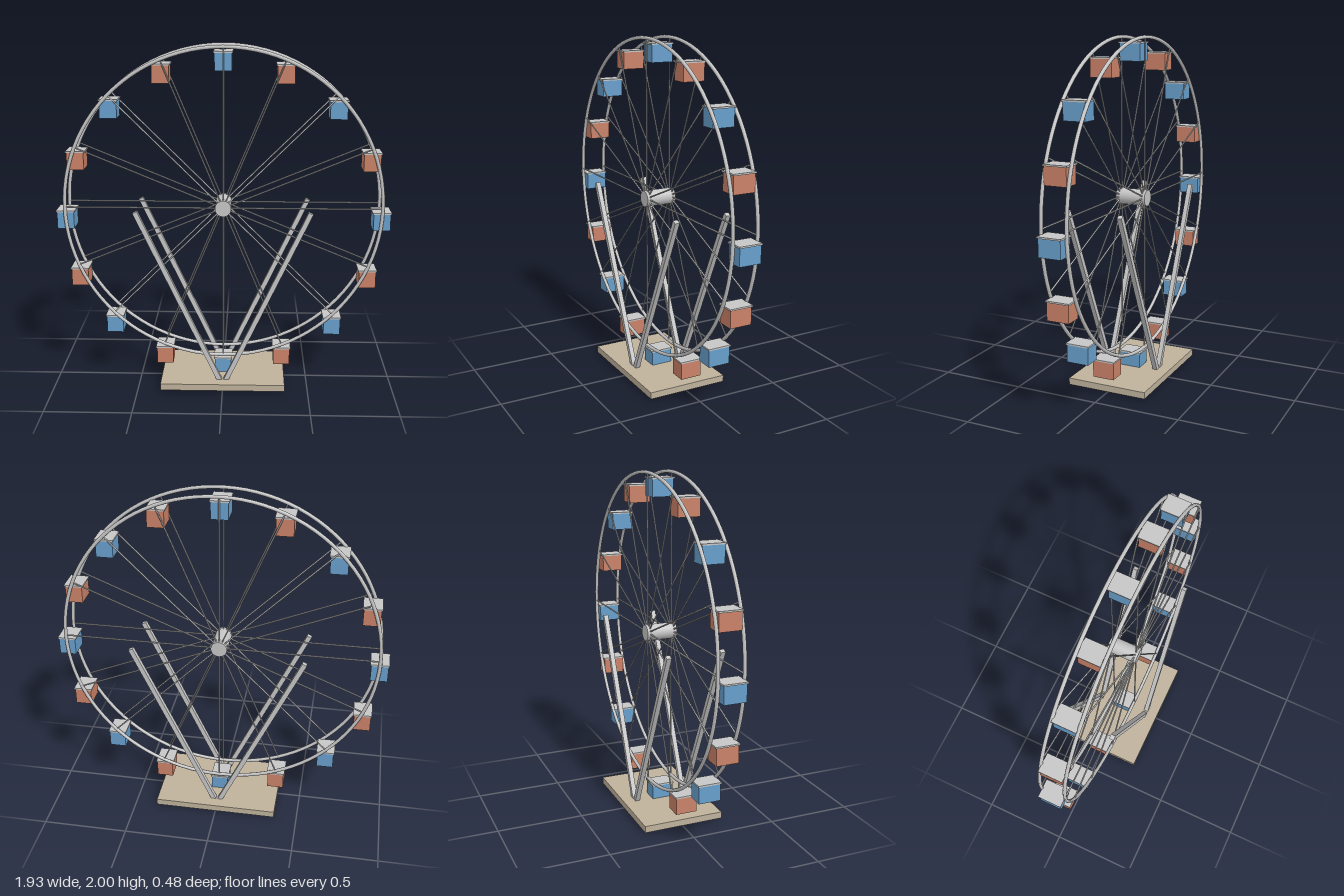
import * as THREE from 'three';

const CENTER_Y = 1.078, RIM_R = 0.911, RIM_Z = 0.073, COUNT = 16;

function material(name, color) {
  const m = new THREE.MeshStandardMaterial({ color });
  m.name = name;
  return m;
}

export function createModel() {
  const steel = material('light grey steel', 0xc6c6c6);
  const sand = material('sand base', 0xbfb29c);
  const blue = material('cabin blue', 0x689fcc);
  const orange = material('cabin terracotta', 0xca8268);

  const model = new THREE.Group();
  model.name = 'ferrisWheel';
  const add = (parent, name, geometry, mat, x = 0, y = 0, z = 0) => {
    const mesh = new THREE.Mesh(geometry, mat);
    mesh.name = name;
    mesh.position.set(x, y, z);
    parent.add(mesh);
    return mesh;
  };

  // Base slab
  add(model, 'base', new THREE.BoxGeometry(0.728, 0.039, 0.48), sand, 0, 0.0305, 0);

  // Square support legs, a V on each side of the wheel
  const foot = new THREE.Vector2(0, 0.006), head = new THREE.Vector2(0.497, 1.075);
  const legLength = foot.distanceTo(head);
  const lean = Math.atan2(head.x - foot.x, head.y - foot.y);
  const legGeo = new THREE.BoxGeometry(0.028, legLength, 0.028);
  for (const z of [-0.158, 0.158]) {
    for (const side of [-1, 1]) {
      const leg = add(model, 'supportLeg', legGeo, steel, side * head.x / 2, (foot.y + head.y) / 2, z);
      leg.rotation.z = -side * lean;
    }
  }

  // Wheel: hub, two rims and their spokes
  const wheel = new THREE.Group();
  wheel.name = 'wheel';
  wheel.position.y = CENTER_Y;
  model.add(wheel);

  const hubGeo = new THREE.CylinderGeometry(0.047, 0.047, 0.182, 24).rotateX(Math.PI / 2);
  add(wheel, 'hub', hubGeo, steel);

  const rimGeo = new THREE.TorusGeometry(RIM_R, 0.0105, 8, 96);
  const spokeGeo = new THREE.CylinderGeometry(0.0046, 0.0046, RIM_R, 6).translate(0, RIM_R / 2, 0);
  for (const z of [-RIM_Z, RIM_Z]) {
    add(wheel, 'rim', rimGeo, steel, 0, 0, z);
    for (let i = 0; i < COUNT; i++) {
      add(wheel, 'spoke', spokeGeo, steel, 0, 0, z).rotation.z = (i / COUNT) * Math.PI * 2;
    }
  }

  // Cabins stay upright below their pivots, alternating in colour
  const bodyGeo = new THREE.BoxGeometry(0.097, 0.098, 0.127);
  const roofGeo = new THREE.BoxGeometry(0.108, 0.009, 0.137);
  for (let i = 0; i < COUNT; i++) {
    const a = (i / COUNT) * Math.PI * 2;
    const cabin = new THREE.Group();
    cabin.name = 'cabin';
    cabin.position.set(Math.cos(a) * RIM_R, Math.sin(a) * RIM_R, 0);
    add(cabin, 'cabinBody', bodyGeo, i % 2 ? orange : blue, 0, -0.083, 0);
    add(cabin, 'cabinRoof', roofGeo, steel, 0, -0.0295, 0);
    wheel.add(cabin);
  }

  return model;
}
